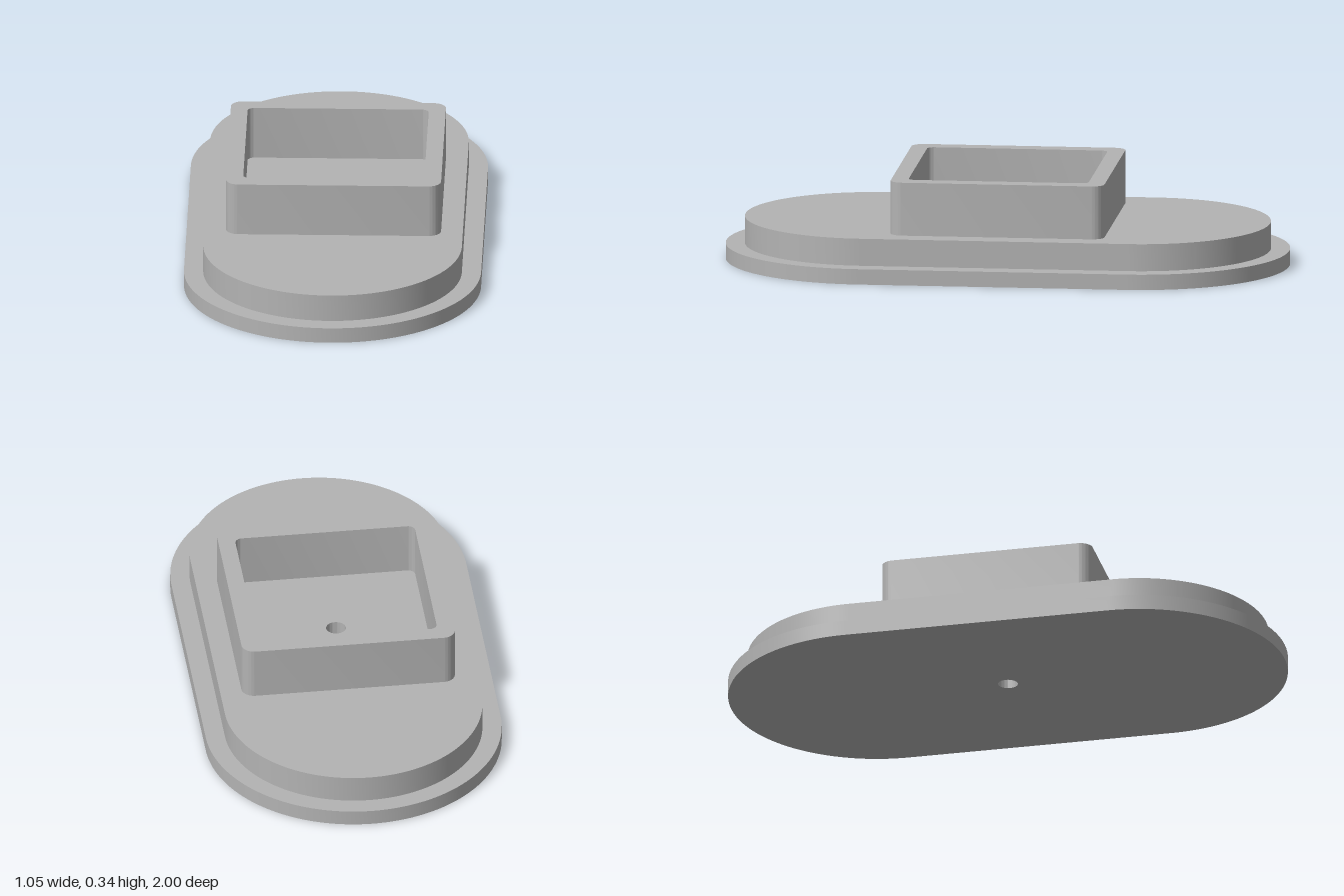
import * as THREE from 'three';
import { toCreasedNormals } from 'three/addons/utils/BufferGeometryUtils.js';

// Rounded rectangle outline with half sizes hx, hz and corner radius r
function roundedOutline(hx, hz, r, Type = THREE.Shape) {
  const s = new Type();
  const cx = hx - r, cz = hz - r;
  s.absarc(cx, cz, r, 0, Math.PI / 2, false);
  s.absarc(-cx, cz, r, Math.PI / 2, Math.PI, false);
  s.absarc(-cx, -cz, r, Math.PI, Math.PI * 1.5, false);
  s.absarc(cx, -cz, r, Math.PI * 1.5, Math.PI * 2, false);
  s.closePath();
  return s;
}

export function createModel() {
  const group = new THREE.Group();
  group.name = 'socketBase';
  const grey = new THREE.MeshStandardMaterial({ color: 0xb3b3b3 });
  grey.name = 'plain grey';

  // Extrude an outline with one hole upward from y0 to y1
  function addLayer(name, outline, hole, y0, y1, segments) {
    outline.holes.push(hole);
    const raw = new THREE.ExtrudeGeometry(outline, {
      depth: y1 - y0, bevelEnabled: false, curveSegments: segments,
    });
    raw.rotateX(-Math.PI / 2);
    const mesh = new THREE.Mesh(toCreasedNormals(raw, Math.PI / 6), grey);
    mesh.name = name;
    mesh.position.y = y0;
    group.add(mesh);
  }

  const drainHole = () => new THREE.Path().absarc(0, 0, 0.035, 0, Math.PI * 2, true);

  // Stadium-shaped flange and the raised deck on it, drilled through the middle
  addLayer('flange', roundedOutline(0.525, 1, 0.525), drainHole(), 0, 0.055, 32);
  addLayer('deck', roundedOutline(0.457, 0.932, 0.457), drainHole(), 0.055, 0.152, 32);

  // Square open socket wall
  addLayer('socketWall', roundedOutline(0.38, 0.38, 0.045),
    roundedOutline(0.32, 0.32, 0.025, THREE.Path), 0.152, 0.342, 10);

  return group;
}
